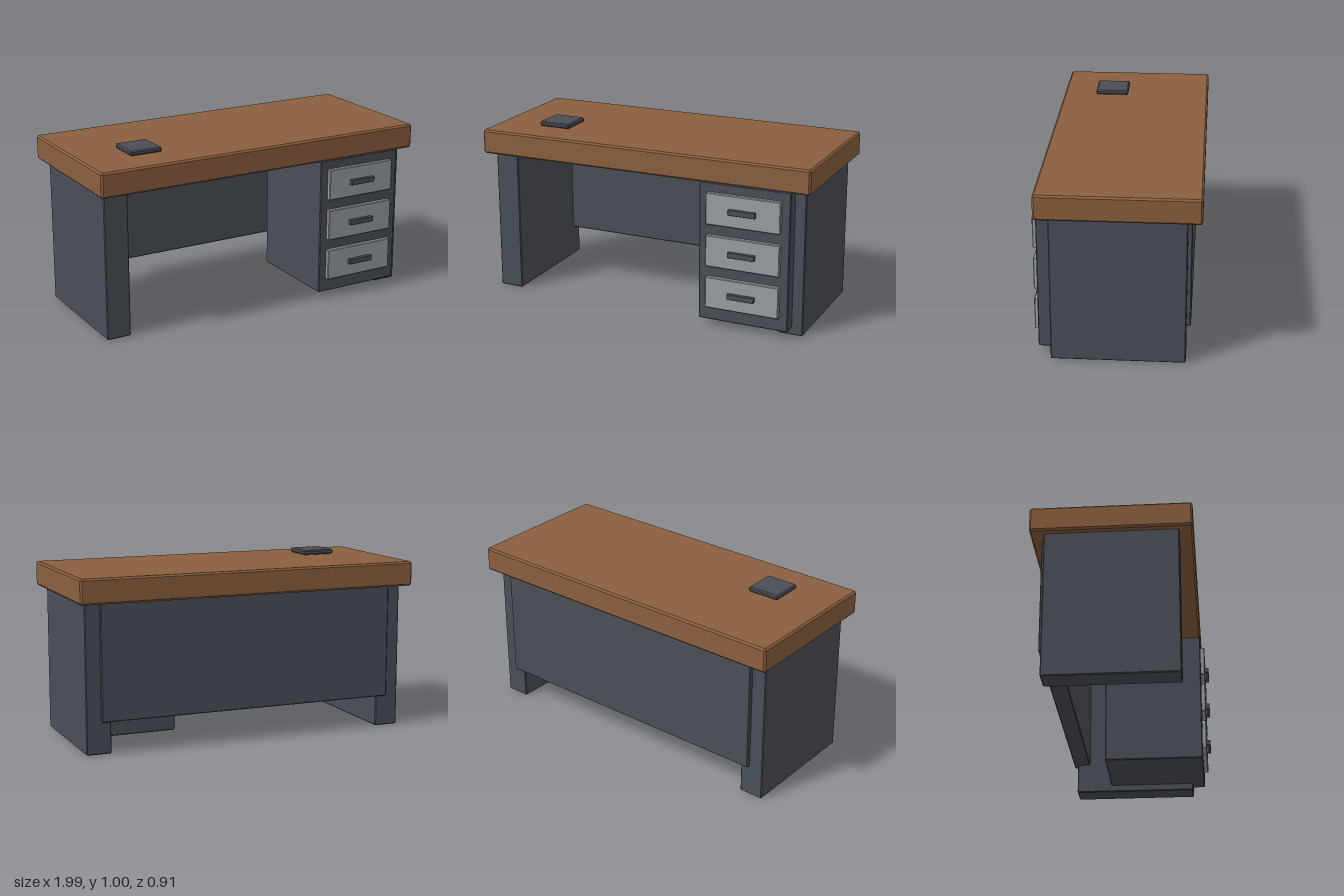
import * as THREE from 'three';
import { ConvexGeometry } from 'three/addons/geometries/ConvexGeometry.js';

const wood = new THREE.MeshStandardMaterial({ color: 0x8b5f3e });
wood.name = 'brown wood';
const slate = new THREE.MeshStandardMaterial({ color: 0x4a4e57 });
slate.name = 'dark slate';
const grey = new THREE.MeshStandardMaterial({ color: 0x9a9fa2 });
grey.name = 'light grey';

// Box between min and max with every edge chamfered by c
function chamferBox(name, material, min, max, c) {
  const half = min.map((m, i) => (max[i] - m) / 2);
  const points = [];
  for (const sx of [-1, 1]) for (const sy of [-1, 1]) for (const sz of [-1, 1]) {
    for (let axis = 0; axis < 3; axis++) {
      const p = half.map((h, i) => (i === axis ? h : h - c));
      points.push(new THREE.Vector3(sx * p[0], sy * p[1], sz * p[2]));
    }
  }
  const mesh = new THREE.Mesh(new ConvexGeometry(points), material);
  mesh.position.set(...min.map((m, i) => (m + max[i]) / 2));
  mesh.name = name;
  return mesh;
}

export function createModel() {
  const desk = new THREE.Group();
  desk.name = 'desk';

  // Thick wooden top
  desk.add(chamferBox('deskTop', wood, [-0.995, 0.83, -0.457], [0.995, 0.97, 0.414], 0.01));

  // Side panels that carry the top
  desk.add(chamferBox('leftLeg', slate, [0.812, 0, -0.382], [0.953, 0.84, 0.341], 0.005));
  desk.add(chamferBox('rightLeg', slate, [-0.953, 0, -0.382], [-0.812, 0.84, 0.341], 0.005));

  // Back panel, shorter than the legs
  desk.add(chamferBox('backPanel', slate, [-0.87, 0.18, -0.405], [0.87, 0.84, -0.305], 0.005));

  // Drawer cabinet
  desk.add(chamferBox('drawerCabinet', slate, [0.365, 0.04, -0.17], [0.89, 0.835, 0.413], 0.005));

  // Three drawer fronts, each with a bar handle
  for (const y of [0.692, 0.45, 0.208]) {
    const drawer = new THREE.Group();
    drawer.name = 'drawer';
    drawer.add(
      chamferBox('drawerFront', grey, [0.412, y - 0.09, 0.405], [0.842, y + 0.09, 0.437], 0.004),
      chamferBox('drawerHandle', slate, [0.55, y - 0.015, 0.43], [0.705, y + 0.015, 0.458], 0.001)
    );
    desk.add(drawer);
  }

  // Small square pad on the top
  desk.add(chamferBox('pad', slate, [-0.73, 0.975, 0.026], [-0.54, 1.002, 0.218], 0.007));

  return desk;
}
